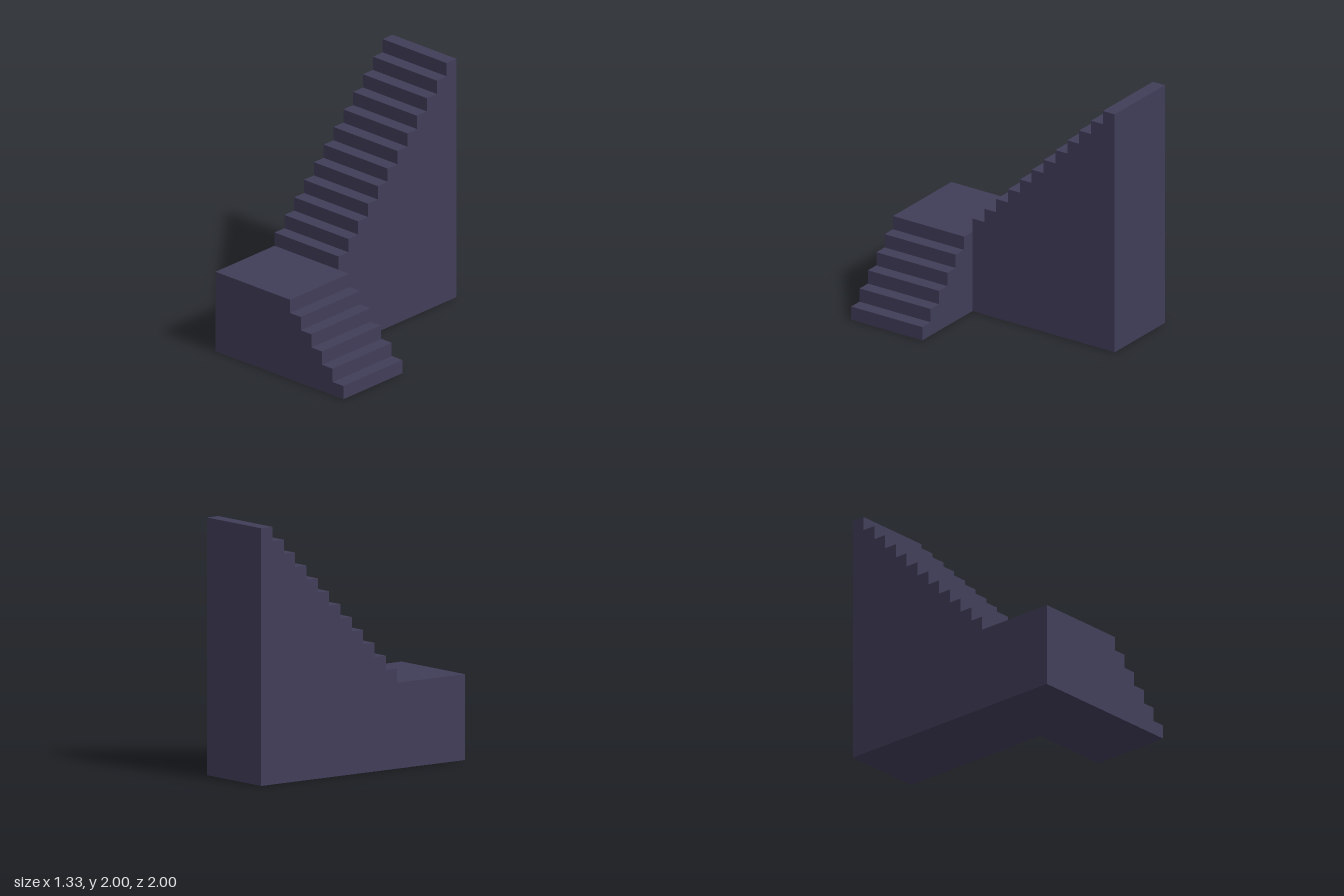
import * as THREE from 'three';

const STEP = 1 / 9;      // rise and run of every step
const WIDTH = 6 * STEP;  // width of both flights and the landing

// Solid flight descending along +x from a wall at x = 0, extruded along +z
function makeFlight(name, steps, base, material) {
  const shape = new THREE.Shape();
  shape.moveTo(0, 0);
  shape.lineTo(steps * STEP, 0);
  for (let i = 1; i <= steps; i++) {
    const y = base + i * STEP;
    shape.lineTo((steps - i + 1) * STEP, y);
    shape.lineTo((steps - i) * STEP, y);
  }
  shape.closePath();
  const geometry = new THREE.ExtrudeGeometry(shape, { depth: WIDTH, bevelEnabled: false });
  const mesh = new THREE.Mesh(geometry, material);
  mesh.name = name;
  return mesh;
}

export function createModel() {
  const model = new THREE.Group();
  model.name = 'cornerStaircase';
  const material = new THREE.MeshStandardMaterial({ color: 0x403d58, flatShading: true });

  // Square landing at the corner
  const landing = new THREE.Mesh(new THREE.BoxGeometry(WIDTH, WIDTH, WIDTH), material);
  landing.name = 'landing';
  landing.position.set(-WIDTH / 2, WIDTH / 2, 1 - WIDTH / 2);

  // Lower flight, descending towards +x
  const lowerFlight = makeFlight('lowerFlight', 6, 0, material);
  lowerFlight.position.set(0, 0, 1 - WIDTH);

  // Upper flight, rising from the landing to the back
  const upperFlight = makeFlight('upperFlight', 12, WIDTH, material);
  upperFlight.rotation.y = -Math.PI / 2;
  upperFlight.position.set(0, 0, -1);

  model.add(landing, lowerFlight, upperFlight);
  return model;
}
